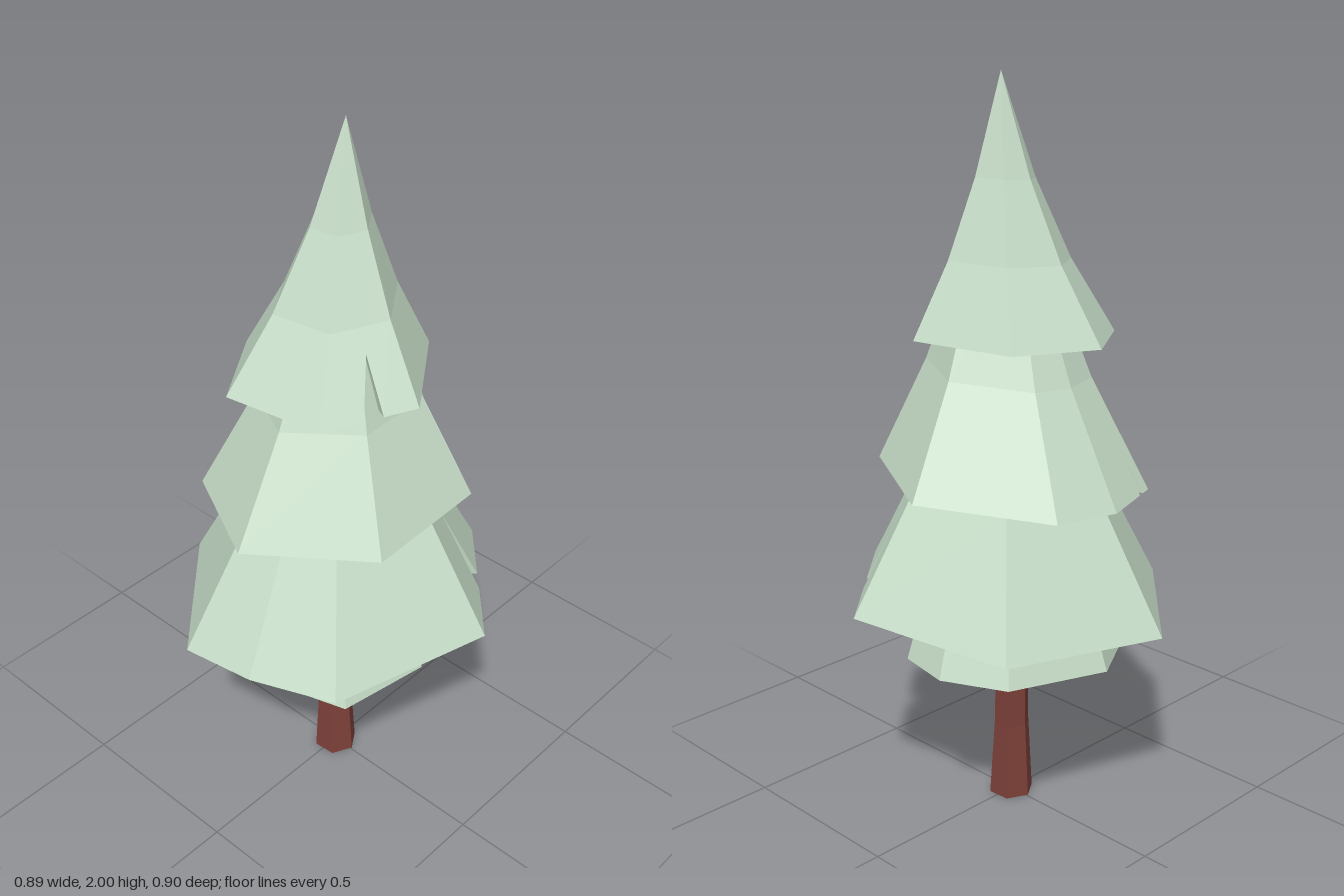
import * as THREE from 'three';

// Skin a list of rings (equal point counts, clockwise seen from above, top ring first)
function loft(name, rings, color) {
  const pos = [];
  for (let i = 0; i < rings.length - 1; i++) {
    const up = rings[i], low = rings[i + 1], n = up.length;
    for (let j = 0; j < n; j++) {
      const k = (j + 1) % n;
      pos.push(...up[j], ...up[k], ...low[k], ...up[j], ...low[k], ...low[j]);
    }
  }
  const geo = new THREE.BufferGeometry();
  geo.setAttribute('position', new THREE.Float32BufferAttribute(pos, 3));
  geo.computeVertexNormals();
  const mesh = new THREE.Mesh(geo, new THREE.MeshStandardMaterial({ color, flatShading: true }));
  mesh.name = name;
  return mesh;
}

// Concave flare shared by all tiers: spread at a height fraction above the rim
const flare = (h) => (h < 0.3 ? 1 - h / 0.75 : h < 0.61 ? 0.6 - (h - 0.3) : 0.29 * (1 - h) / 0.39);

// Hollow skirt of branches hung from a tip. corners: [x, z] of the rim, whose height is
// rimY plus a tilt along x and z. notch: a V cut into the edge after one corner,
// from fraction t0 to t1 of that edge and rising by a height fraction.
function tier(name, { tipX, tipY, rimY, tilt, wall, corners, notch }) {
  const columns = corners.map(([x, z]) => ({ x, z, rise: 0 }));
  if (notch) {
    const [x0, z0] = corners[notch.edge], [x1, z1] = corners[(notch.edge + 1) % corners.length];
    const cut = [notch.t0, (notch.t0 + notch.t1) / 2, notch.t1].map((t, i) => (
      { x: x0 + (x1 - x0) * t, z: z0 + (z1 - z0) * t, rise: i === 1 ? notch.rise : 0 }));
    columns.splice(notch.edge + 1, 0, ...cut);
  }
  const ring = (h, thick) => columns.map(({ x, z, rise }) => {
    const f = Math.max(h, rise), s = flare(f) * thick;
    const low = rimY + tilt[0] * x + tilt[1] * z;
    return [tipX + (x - tipX) * s, low + (tipY - low) * f, z * s];
  });
  const heights = [1, 0.61, 0.3, 0];
  const outer = heights.map((h) => ring(h, 1));
  const inner = heights.map((h) => ring(h, wall)).reverse();
  return loft(name, [...outer, ...inner], 0xc8dfc9);
}

// Six-sided trunk, flared at the foot and closed at both ends
function trunk() {
  const profile = [[0.8, 0], [0.8, 0.045], [0.45, 0.047], [0.22, 0.05], [0, 0.063], [0, 0]];
  return loft('trunk', profile.map(([y, r]) =>
    Array.from({ length: 6 }, (_, j) => {
      const a = (j / 6) * Math.PI * 2 + 0.45;
      return [0.01 * y + r * Math.cos(a), y, -0.02 * y + r * Math.sin(a)];
    })), 0x7d4039);
}

export function createModel() {
  const tree = new THREE.Group();
  tree.name = 'pineTree';
  tree.add(
    tier('topBranches', {
      tipX: 0.035, tipY: 2, rimY: 1.33, tilt: [0.04, 0], wall: 0.87,
      corners: [[-0.05, -0.27], [0.19, -0.19], [0.255, 0.095], [0.01, 0.27], [-0.225, 0.155], [-0.265, -0.125]],
      notch: { edge: 3, t0: 0.36, t1: 0.56, rise: 0.21 },
    }),
    tier('upperBranches', {
      tipX: 0.03, tipY: 1.93, rimY: 0.955, tilt: [0.02, 0.06], wall: 0.9,
      corners: [[-0.2, -0.31], [0, -0.375], [0.18, -0.34], [0.375, -0.025], [0.205, 0.3], [-0.165, 0.31], [-0.365, 0]],
      notch: { edge: 0, t0: 0.16, t1: 0.27, rise: 0.13 },
    }),
    tier('middleBranches', {
      tipX: 0.01, tipY: 1.73, rimY: 0.605, tilt: [0.03, 0.05], wall: 0.91,
      corners: [[-0.105, -0.45], [0.34, -0.32], [0.445, 0.135], [0.105, 0.45], [-0.34, 0.315], [-0.42, 0.08], [-0.445, -0.135]],
      notch: { edge: 2, t0: 0.43, t1: 0.57, rise: 0.22 },
    }),
    tier('lowerBranches', {
      tipX: 0.01, tipY: 1.8, rimY: 0.457, tilt: [0.03, 0], wall: 0.88,
      corners: [[-0.05, -0.31], [0.23, -0.22], [0.315, -0.05], [0.285, 0.11], [0.04, 0.29], [-0.22, 0.24], [-0.29, 0], [-0.24, -0.2]],
    }),
    trunk(),
  );
  return tree;
}
